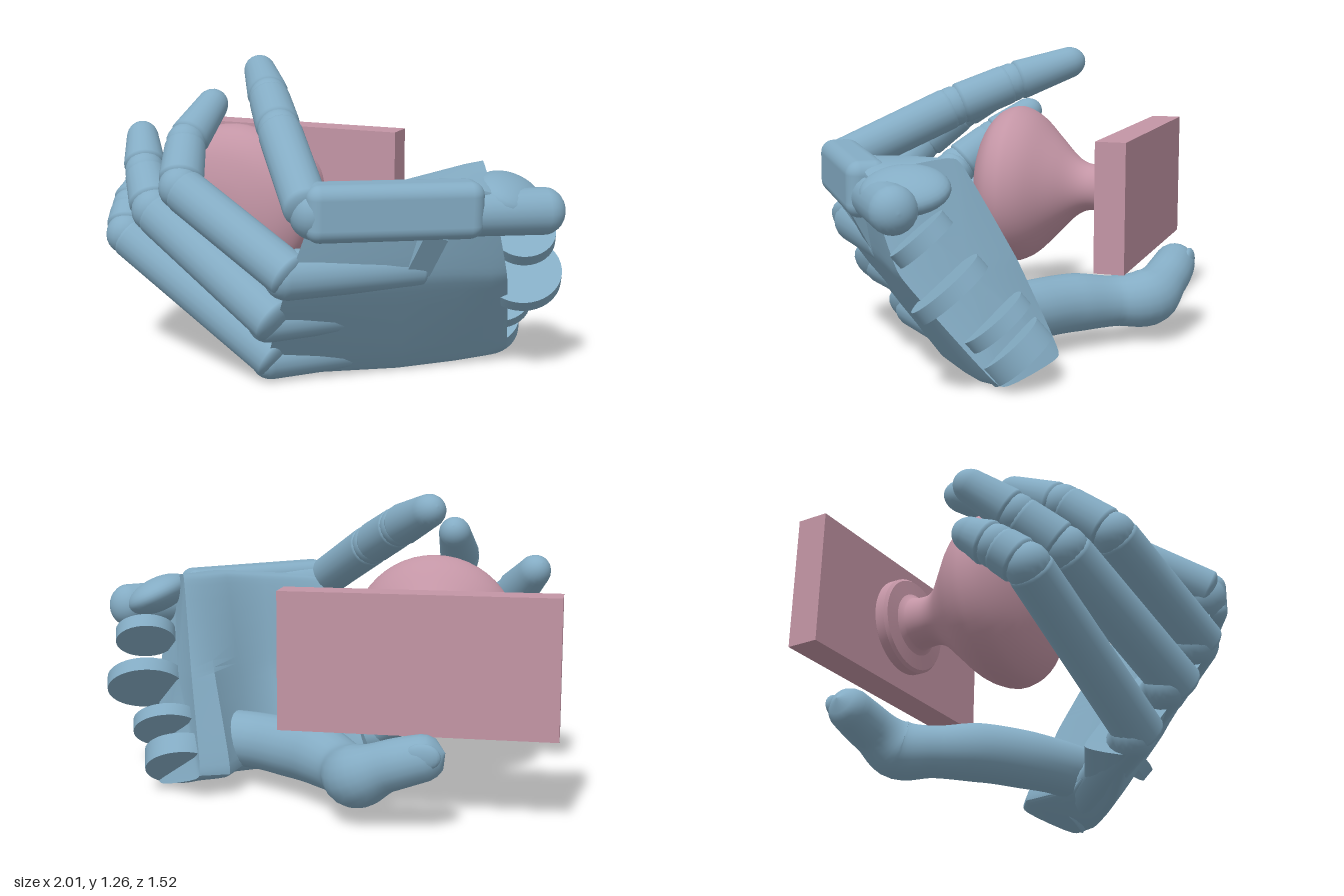
import * as THREE from 'three';
import { toCreasedNormals } from 'three/addons/utils/BufferGeometryUtils.js';
import { RoundedBoxGeometry } from 'three/addons/geometries/RoundedBoxGeometry.js';

const blue = new THREE.MeshStandardMaterial({ color: 0x84acc4 });
const pink = new THREE.MeshStandardMaterial({ color: 0xc395a5 });
const V = (p) => new THREE.Vector3(...p);
const UP = new THREE.Vector3(0, 1, 0);

function add(parent, name, geometry, material = blue) {
  const mesh = new THREE.Mesh(geometry, material);
  mesh.name = name;
  parent.add(mesh);
  return mesh;
}

// Skin closed rings (clockwise seen from the last ring) and cap both ends
function loft(rings, crease) {
  const n = rings[0].length;
  const pos = [], idx = [];
  rings.forEach((ring) => ring.forEach((p) => pos.push(p.x, p.y, p.z)));
  for (let s = 0; s < rings.length - 1; s++) {
    for (let i = 0; i < n; i++) {
      const a = s * n + i, b = s * n + (i + 1) % n;
      idx.push(a, a + n, b + n, a, b + n, b);
    }
  }
  [0, rings.length - 1].forEach((s) => {
    const c = new THREE.Vector3();
    rings[s].forEach((p) => c.addScaledVector(p, 1 / n));
    const k = pos.length / 3;
    pos.push(c.x, c.y, c.z);
    for (let i = 0; i < n; i++) {
      const a = s * n + i, b = s * n + (i + 1) % n;
      if (s === 0) idx.push(k, a, b); else idx.push(k, b, a);
    }
  });
  const g = new THREE.BufferGeometry();
  g.setAttribute('position', new THREE.Float32BufferAttribute(pos, 3));
  g.setIndex(idx);
  if (crease) return toCreasedNormals(g, crease);
  g.computeVertexNormals();
  return g;
}

// Tapered bar from a to b with domed ends; domeA and domeB are dome depths in radii
function bar(parent, name, a, b, ra, rb, domeA = 0.4, domeB = 0.4) {
  const A = V(a), B = V(b), len = A.distanceTo(B);
  const pts = [];
  for (let i = 0; i <= 6; i++) {
    const t = (i / 6) * Math.PI / 2;
    pts.push(new THREE.Vector2(ra * Math.sin(t), ra * domeA * (1 - Math.cos(t))));
  }
  for (let i = 0; i <= 8; i++) {
    const t = (i / 8) * Math.PI / 2;
    pts.push(new THREE.Vector2(rb * Math.cos(t), len - rb * domeB * (1 - Math.sin(t))));
  }
  const mesh = add(parent, name, new THREE.LatheGeometry(pts, 20));
  mesh.position.copy(A);
  mesh.quaternion.setFromUnitVectors(UP, B.sub(A).normalize());
}

// Three-part finger with a hinge ball at each joint
function finger(parent, name, pts, radii) {
  const g = new THREE.Group();
  g.name = name;
  const P = pts.map(V);
  for (let i = 0; i < 3; i++) {
    const dir = P[i + 1].clone().sub(P[i]).normalize();
    const a = P[i].clone().addScaledVector(dir, i ? 0.01 : -0.05);
    const b = P[i + 1].clone().addScaledVector(dir, i < 2 ? 0.015 : 0.04);
    const label = ['lowerSegment', 'middleSegment', 'fingertip'][i];
    bar(g, label, a.toArray(), b.toArray(), radii[i], radii[i + 1], 0.4, i < 2 ? 0.5 : 1.2);
    if (i) add(g, 'jointBall', new THREE.SphereGeometry(radii[i] * 0.97, 18, 12)).position.copy(P[i]);
  }
  parent.add(g);
}

// Palm cross-section: softened corners along a closed curve
function palmRing(corners) {
  const c = corners.map(V), n = c.length, pts = [];
  c.forEach((p, i) => {
    pts.push(p.clone().lerp(c[(i + n - 1) % n], 0.12), p.clone().lerp(c[(i + 1) % n], 0.12));
  });
  const curve = new THREE.CatmullRomCurve3(pts, true, 'catmullrom', 0.35);
  return curve.getPoints(48).slice(0, 48);
}

// Thumb: round sweep along a bent path with changing radius
function thumbGeometry() {
  const path = new THREE.CatmullRomCurve3([[0.42, 0.2, -0.1], [0.27, 0.2, -0.14], [0.11, 0.2, -0.225],
    [-0.03, 0.2, -0.33], [-0.16, 0.19, -0.48], [-0.235, 0.2, -0.61], [-0.36, 0.26, -0.66],
    [-0.58, 0.325, -0.675]].map(V));
  const r = [0.12, 0.12, 0.125, 0.125, 0.11, 0.125, 0.1, 0.088];
  const N = 48, frames = path.computeFrenetFrames(N);
  const rings = [];
  for (let i = 0; i <= N; i++) {
    const u = i / N, t = path.getUtoTmapping(u) * (r.length - 1);
    const k = Math.min(Math.floor(t), r.length - 2);
    const end = u > 0.93 ? Math.sqrt(Math.max(0.0004, 1 - ((u - 0.93) / 0.07) ** 2)) : 1;
    const rad = THREE.MathUtils.lerp(r[k], r[k + 1], THREE.MathUtils.smoothstep(t - k, 0, 1)) * end;
    const c = path.getPointAt(u), ring = [];
    for (let j = 0; j < 20; j++) {
      const a = (j / 20) * Math.PI * 2;
      ring.push(c.clone().addScaledVector(frames.normals[i], rad * Math.cos(a))
        .addScaledVector(frames.binormals[i], -rad * Math.sin(a)));
    }
    rings.push(ring);
  }
  return loft(rings);
}

export function createModel() {
  const model = new THREE.Group();
  model.name = 'handAndKnob';

  // Backplate and turned knob
  const knob = new THREE.Group();
  knob.name = 'doorKnob';
  model.add(knob);
  add(knob, 'backplate', new THREE.BoxGeometry(1.09, 0.55, 0.13), pink).position.set(-0.455, 0.635, -0.515);
  const rose = [[0, -0.46], [0.18, -0.46], [0.2, -0.445], [0.2, -0.405], [0.19, -0.392], [0.13, -0.385]];
  const bulb = [[0.112, -0.37], [0.105, -0.34], [0.107, -0.28], [0.14, -0.22], [0.22, -0.14], [0.31, -0.05],
    [0.35, 0.02], [0.353, 0.07], [0.325, 0.13], [0.25, 0.185], [0.13, 0.22], [0, 0.23]];
  const vec = (p) => new THREE.Vector2(...p);
  const profile = new THREE.SplineCurve(bulb.map(vec)).getPoints(48);
  profile[profile.length - 1].x = 0;
  [['rose', rose.map(vec)], ['knobBody', [vec([0.13, -0.385]), ...profile]]].forEach(([name, pts]) => {
    const g = new THREE.LatheGeometry(pts, 48).rotateX(Math.PI / 2);
    add(knob, name, toCreasedNormals(g, 0.6), pink).position.set(-0.455, 0.635, 0);
  });

  // Palm with a flat back and a thicker heel, lofted from knuckles to wrist
  const hand = new THREE.Group();
  hand.name = 'hand';
  model.add(hand);
  add(hand, 'palm', loft([
    [[0.2, 0.84, 0.66], [0.13, 0.82, 0.54], [0.02, 0.45, 0.43], [-0.13, 0.09, 0.21], [-0.15, 0.005, 0.44], [0.07, 0.47, 0.69]],
    [[0.48, 0.86, 0.48], [0.36, 0.85, 0.36], [0.3, 0.47, 0.19], [0.17, 0.09, 0.05], [0.33, 0, 0.12], [0.45, 0.48, 0.42]],
    [[0.64, 0.86, 0.37], [0.49, 0.88, 0.18], [0.4, 0.48, 0.02], [0.31, 0.09, -0.08], [0.53, 0.005, -0.05], [0.63, 0.47, 0.27]],
    [[0.72, 0.85, 0.31], [0.56, 0.89, 0.02], [0.45, 0.5, -0.19], [0.34, 0.09, -0.34], [0.64, 0.01, -0.15], [0.74, 0.46, 0.18]],
    [[0.76, 0.83, 0.27], [0.62, 0.9, -0.05], [0.53, 0.5, -0.26], [0.45, 0.1, -0.42], [0.69, 0.015, -0.25], [0.79, 0.46, 0.13]],
  ].map(palmRing), 0.6));

  // Knuckle housings, almost flush with the back of the palm
  [[[0.085, 0.77, 0.685], [0.5, 0.77, 0.4], 0.105, 0.09],
    [[-0.02, 0.515, 0.695], [0.5, 0.52, 0.28], 0.1, 0.09],
    [[-0.13, 0.295, 0.615], [0.45, 0.32, 0.1], 0.09, 0.085],
    [[-0.18, 0.095, 0.49], [0.5, 0.12, -0.12], 0.09, 0.085],
  ].forEach(([a, b, ra, rb]) => bar(hand, 'knuckleHousing', a, b, ra, rb, 0.9, 0.4));

  // Slab along the upper edge of the palm, with its small tongue below
  const slab = add(hand, 'upperSlab', new RoundedBoxGeometry(0.7, 0.225, 0.17, 4, 0.055));
  slab.position.set(0.43, 0.77, 0.475);
  slab.rotation.set(0, 0.61, -0.02);
  const tongue = add(hand, 'clipTongue', new THREE.BoxGeometry(0.1, 0.2, 0.05));
  tongue.position.set(0.53, 0.59, 0.385);
  tongue.rotation.set(0.5, 0.6, -0.25, 'YXZ');

  // Wrist hinge discs, stacked across the palm
  const across = V([0.2, 0.75, 0.62]).normalize();
  [[0.82, 0.61, 0.02, 0.13, 0.06], [0.79, 0.42, -0.08, 0.165, 0.06],
    [0.65, 0.27, -0.22, 0.145, 0.055], [0.58, 0.14, -0.27, 0.15, 0.09]].forEach(([x, y, z, r, h]) => {
    const disc = add(hand, 'wristDisc', toCreasedNormals(new THREE.CylinderGeometry(r, r, h, 36), 0.6));
    disc.position.set(x, y, z);
    disc.quaternion.setFromUnitVectors(UP, across);
  });
  bar(hand, 'wristLobe', [0.62, 0.74, 0.32], [0.985, 0.73, 0.04], 0.09, 0.095, 0.6, 0.9);
  const bump = add(hand, 'wristBump', new THREE.SphereGeometry(1, 28, 18));
  bump.scale.set(0.14, 0.075, 0.18);
  bump.position.set(0.78, 0.785, 0.1);
  bump.rotation.z = -0.45;

  // Fingers from top to bottom, then the thumb
  finger(hand, 'topFinger', [[0.14, 0.8, 0.65], [-0.15, 1.01, 0.26], [-0.3, 1.11, 0.04], [-0.47, 1.205, -0.21]],
    [0.09, 0.092, 0.088, 0.07]);
  finger(hand, 'secondFinger', [[0.06, 0.53, 0.66], [-0.46, 0.8, 0.54], [-0.53, 0.95, 0.36], [-0.525, 1.095, 0.1]],
    [0.092, 0.092, 0.085, 0.068]);
  finger(hand, 'thirdFinger', [[-0.03, 0.32, 0.59], [-0.65, 0.67, 0.43], [-0.77, 0.8, 0.29], [-0.88, 0.94, 0.12]],
    [0.1, 0.097, 0.088, 0.07]);
  finger(hand, 'bottomFinger', [[-0.1, 0.12, 0.45], [-0.82, 0.54, 0.37], [-0.86, 0.63, 0.26], [-0.89, 0.715, 0.13]],
    [0.1, 0.092, 0.088, 0.07]);
  add(hand, 'thumb', thumbGeometry());
  const nail = add(hand, 'thumbNail', new THREE.SphereGeometry(0.07, 20, 12));
  nail.scale.set(1, 0.75, 0.35);
  nail.position.set(-0.5, 0.32, -0.735);

  return model;
}
